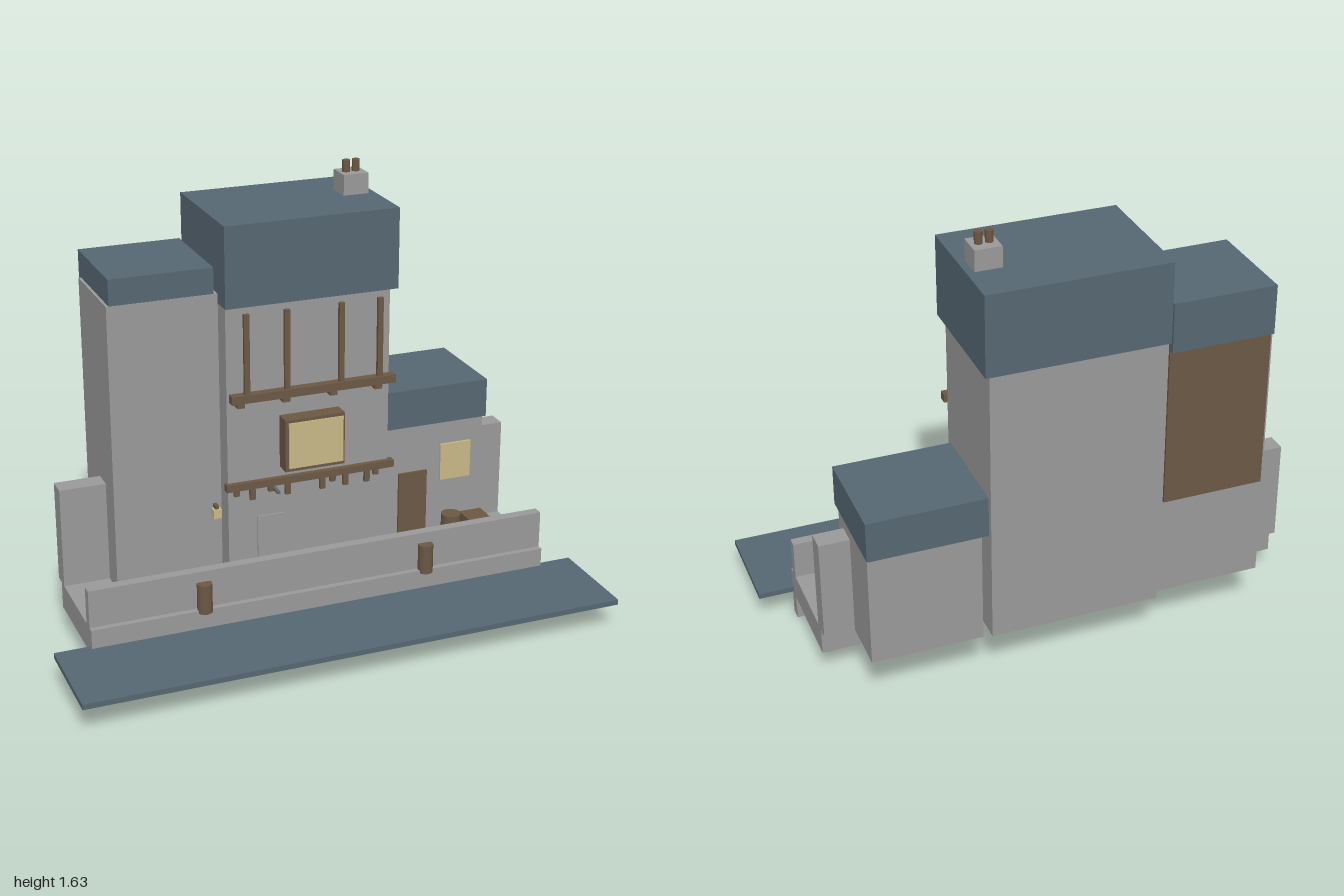
import * as THREE from 'three';

const material = (name, color) => {
  const m = new THREE.MeshStandardMaterial({ color });
  m.name = name;
  return m;
};

export function createModel() {
  const stone = material('stone', 0x999999);
  const slate = material('slate', 0x566772);
  const wood = material('wood', 0x6b5844);
  const cream = material('cream', 0xc8b787);

  const model = new THREE.Group();
  model.name = 'quaysideHouse';

  // Box given by its extents on each axis
  const box = (name, mat, [x0, x1], [y0, y1], [z0, z1]) => {
    const mesh = new THREE.Mesh(new THREE.BoxGeometry(x1 - x0, y1 - y0, z1 - z0), mat);
    mesh.position.set((x0 + x1) / 2, (y0 + y1) / 2, (z0 + z1) / 2);
    mesh.name = name;
    model.add(mesh);
  };
  // Upright cylinder from y0 to y1
  const post = (name, mat, x, z, r, y0, y1, sides = 12) => {
    const mesh = new THREE.Mesh(new THREE.CylinderGeometry(r, r, y1 - y0, sides), mat);
    mesh.position.set(x, (y0 + y1) / 2, z);
    mesh.name = name;
    model.add(mesh);
  };

  // Water, quay and low walls
  const width = [-0.87, 0.87];
  box('water', slate, [-1, 1], [0.1, 0.12], [0.14, 0.51]);
  box('terrace', stone, width, [0.09, 0.19], [-0.235, 0.16]);
  box('quayFooting', stone, width, [0, 0.09], [0.115, 0.16]);
  box('parapet', stone, width, [0.19, 0.33], [0.1, 0.138]);
  box('backWall', stone, width, [0.19, 0.565], [-0.275, -0.2]);
  for (const x of [-0.455, 0.395]) post('mooringPost', wood, x, 0.15, 0.028, 0.18, 0.29);

  // Main tower with roof and chimney
  box('mainTower', stone, [-0.29, 0.33], [0.19, 1.22], [-0.485, -0.06]);
  box('mainRoof', slate, [-0.3, 0.348], [1.22, 1.515], [-0.5, -0.027]);
  box('chimney', stone, [0.225, 0.32], [1.515, 1.59], [-0.335, -0.24]);
  for (const x of [0.253, 0.29]) post('chimneyPot', wood, x, -0.287, 0.014, 1.59, 1.633);

  // Side tower with a wooden panel on its back
  box('sideTower', stone, [-0.7, -0.302], [0.19, 1.257], [-0.45, -0.1]);
  box('sideRoof', slate, [-0.69, -0.315], [1.17, 1.352], [-0.48, -0.102]);
  box('backPanel', wood, [-0.69, -0.315], [0.57, 1.17], [-0.459, -0.45]);

  // Low annex with door and window
  box('annex', stone, [0.36, 0.76], [0.19, 0.63], [-0.475, -0.147]);
  box('annexRoof', slate, [0.348, 0.77], [0.63, 0.778], [-0.513, -0.138]);
  box('annexDoor', wood, [0.415, 0.53], [0.19, 0.445], [-0.147, -0.138]);
  box('annexWindow', cream, [0.585, 0.71], [0.395, 0.54], [-0.147, -0.138]);

  // Upper gallery: beam, posts and brackets
  box('galleryBeam', wood, [-0.29, 0.333], [0.876, 0.906], [-0.033, 0]);
  for (const x of [-0.23, -0.08, 0.125, 0.273]) {
    box('galleryPost', wood, [x - 0.01, x + 0.01], [0.906, 1.2], [-0.02, -0.006]);
  }
  for (const x of [-0.25, -0.08, 0.1, 0.273]) {
    box('galleryBracket', wood, [x - 0.014, x + 0.014], [0.853, 0.888], [-0.06, -0.018]);
  }

  // Projecting bay window
  box('bayFrame', wood, [-0.092, 0.135], [0.592, 0.79], [-0.06, 0]);
  box('bayPane', cream, [-0.08, 0.128], [0.605, 0.778], [0, 0.006]);

  // Lower beam with hanging pegs
  box('lowerBeam', wood, [-0.3, 0.348], [0.528, 0.555], [-0.07, -0.04]);
  [-0.26, -0.2, -0.13, -0.065, 0.07, 0.11, 0.16, 0.245, 0.28].forEach((x, i) => {
    const bottom = [1, 3, 4, 6, 7].includes(i) ? 0.483 : 0.505;
    box('peg', wood, [x - 0.01, x + 0.01], [bottom, 0.528], [-0.062, -0.046]);
  });

  // Doorway, doorstep, hook and lantern
  box('mainDoor', stone, [-0.18, -0.075], [0.19, 0.41], [-0.06, -0.054]);
  box('doorstep', slate, [-0.35, -0.038], [0.19, 0.194], [-0.1, 0.03]);
  box('hookBar', slate, [-0.124, -0.112], [0.511, 0.52], [-0.06, -0.003]);
  box('lantern', cream, [-0.343, -0.313], [0.422, 0.457], [-0.092, -0.066]);
  box('lanternCap', wood, [-0.335, -0.321], [0.457, 0.47], [-0.1, -0.072]);

  // Barrel and crate
  post('barrel', wood, 0.585, -0.035, 0.037, 0.19, 0.302, 16);
  box('crate', wood, [0.642, 0.73], [0.19, 0.28], [-0.08, 0.005]);

  return model;
}
